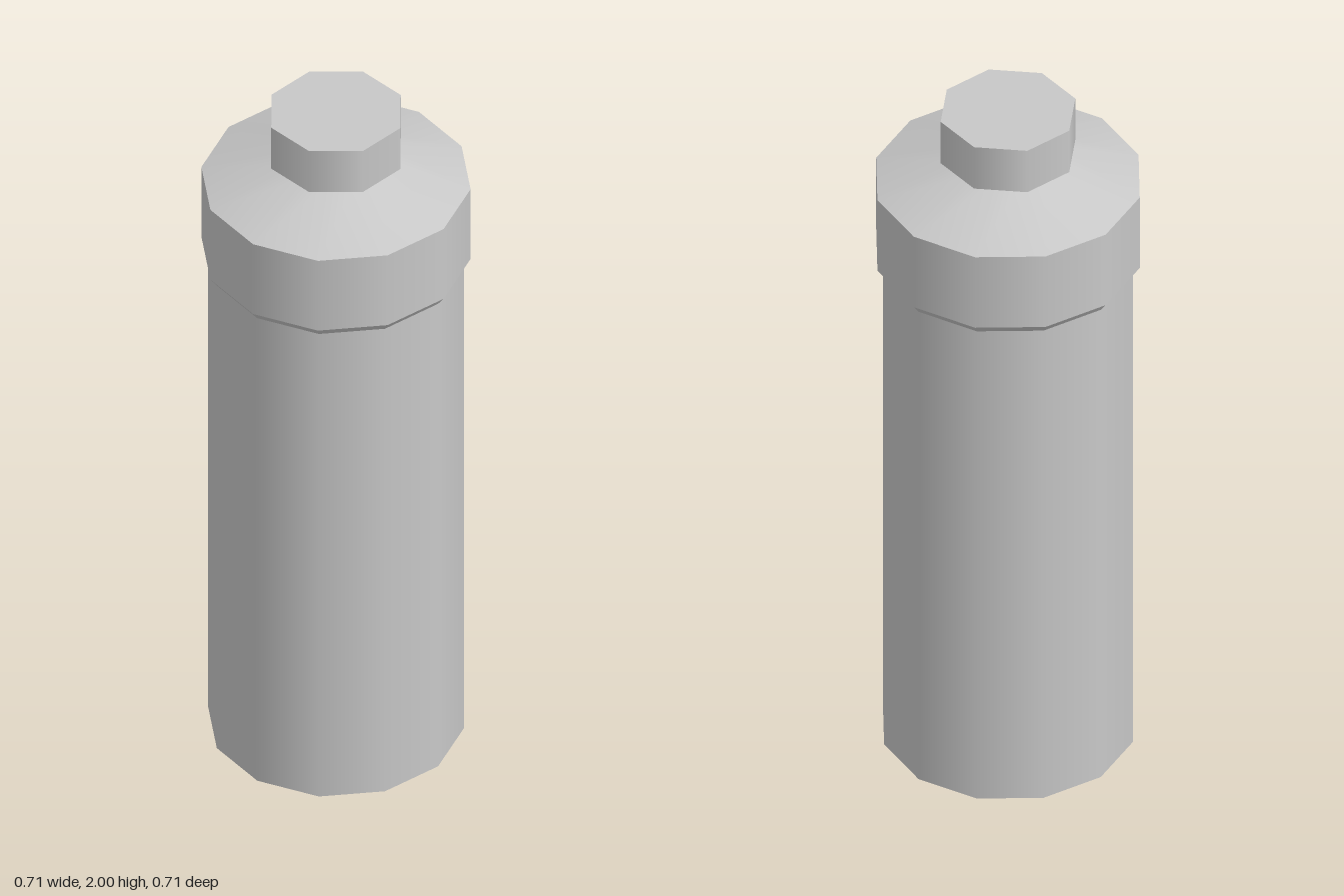
import * as THREE from 'three';

export function createModel() {
  const group = new THREE.Group();
  const grey = new THREE.MeshStandardMaterial({ color: 0xc8c8c8 });
  grey.name = 'plain grey';

  // Upright faceted section: smooth around the side, sharp at its rims
  function section(name, sides, bottomY, topY, bottomR, topR, open = true) {
    const geometry = new THREE.CylinderGeometry(topR, bottomR, topY - bottomY, sides, 1, open);
    const mesh = new THREE.Mesh(geometry, grey);
    mesh.name = name;
    mesh.position.y = (bottomY + topY) / 2;
    group.add(mesh);
  }

  // Main bottle body, closed at the base
  section('body', 12, 0, 1.53, 0.335, 0.335, false);

  // Collar with a bevelled lower lip and a sloping shoulder
  section('collarBevel', 12, 1.525, 1.55, 0.335, 0.353);
  section('collar', 12, 1.55, 1.78, 0.353, 0.353);
  section('shoulder', 12, 1.78, 1.86, 0.353, 0.125);

  // Short neck and eight-sided cap
  section('neck', 12, 1.86, 1.87, 0.125, 0.125);
  section('cap', 8, 1.865, 2, 0.182, 0.182, false);

  return group;
}
